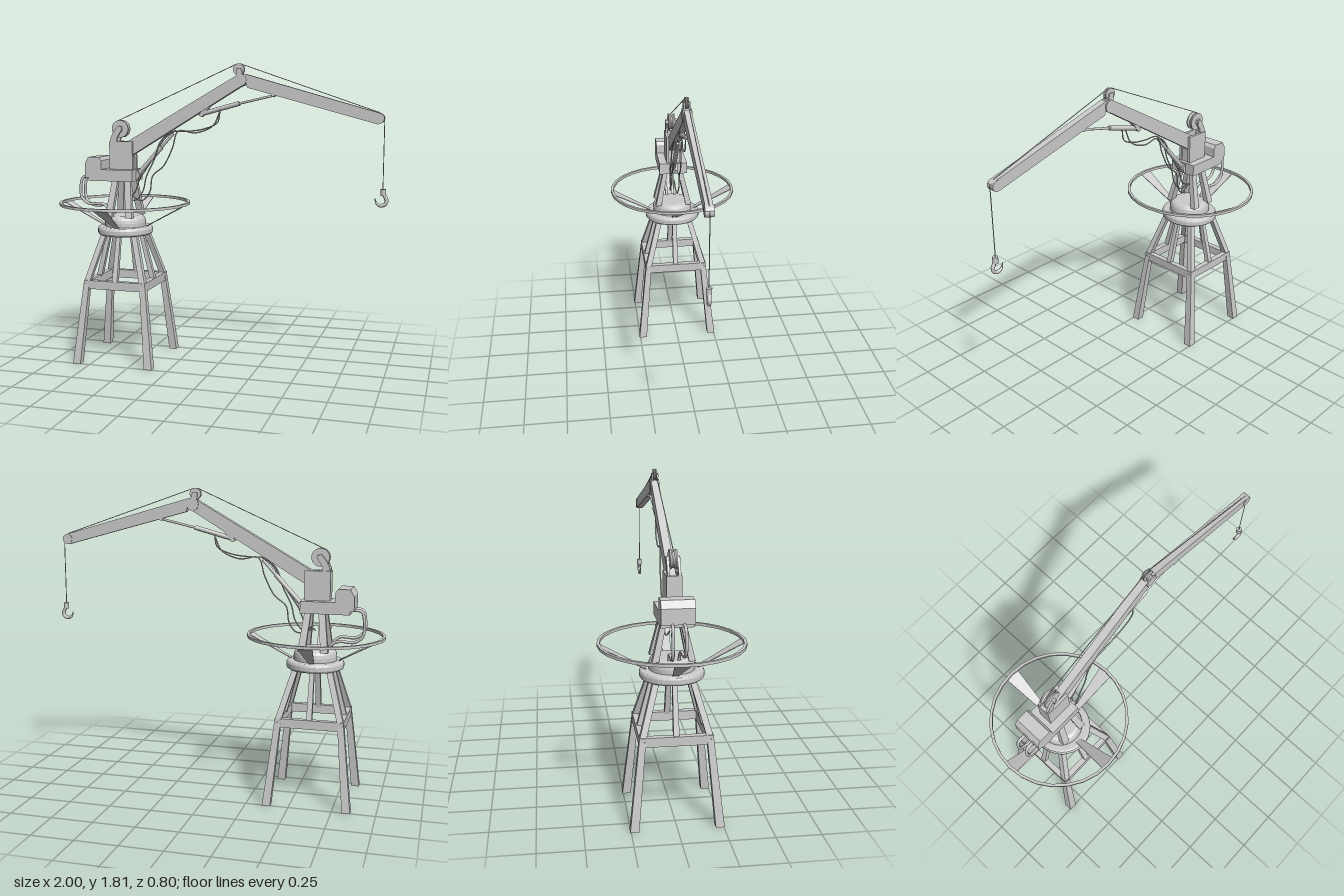
import * as THREE from 'three';

const CX = -0.602; // axis of the pedestal
const V = (x, y, z = 0) => new THREE.Vector3(x, y, z);

export function createModel() {
  const root = new THREE.Group();
  const mat = new THREE.MeshStandardMaterial({ color: 0xcccccc, side: THREE.DoubleSide });
  const flat = new THREE.MeshStandardMaterial({ color: 0xcccccc, side: THREE.DoubleSide, flatShading: true });

  const add = (name, geo, parent = root, m = mat) => {
    const mesh = new THREE.Mesh(geo, m);
    mesh.name = name;
    parent.add(mesh);
    return mesh;
  };
  const group = (name, x = 0, y = 0, z = 0) => {
    const g = new THREE.Group();
    g.name = name;
    g.position.set(x, y, z);
    root.add(g);
    return g;
  };
  const box = (name, x0, x1, y0, y1, z0, z1, parent = root) =>
    add(name, new THREE.BoxGeometry(x1 - x0, y1 - y0, z1 - z0)
      .translate((x0 + x1) / 2, (y0 + y1) / 2, (z0 + z1) / 2), parent, flat);

  // Leaning post with level ends: a, b are end centres, [hx, hz] half sizes
  const post = (name, a, b, ha, hb, parent) => {
    const geo = new THREE.BoxGeometry(2, 1, 2);
    const p = geo.attributes.position;
    for (let i = 0; i < p.count; i++) {
      const top = p.getY(i) > 0, c = top ? b : a, h = top ? hb : ha;
      p.setXYZ(i, c.x + p.getX(i) * h[0], c.y, c.z + p.getZ(i) * h[1]);
    }
    geo.computeVertexNormals();
    return add(name, geo, parent, flat);
  };
  // Side profile in x/y given a thickness in z
  const plate = (name, pts, z0, z1, parent = root) => {
    const shape = new THREE.Shape(pts.map(([x, y]) => new THREE.Vector2(x, y)));
    const geo = new THREE.ExtrudeGeometry(shape, { depth: z1 - z0, bevelEnabled: false });
    return add(name, geo.translate(0, 0, z0), parent, flat);
  };
  // Round bar between two points
  const rod = (name, a, b, r, sides = 12, parent = root) => {
    const d = b.clone().sub(a);
    const mesh = add(name, new THREE.CylinderGeometry(r, r, d.length(), sides), parent);
    mesh.position.copy(a).addScaledVector(d, 0.5);
    mesh.quaternion.setFromUnitVectors(V(0, 1, 0), d.normalize());
    return mesh;
  };
  const hose = (name, pts, r, parent) =>
    add(name, new THREE.TubeGeometry(new THREE.CatmullRomCurve3(pts.map(p => V(...p))), 48, r, 7), parent);
  // Grooved pulley with its axle along z
  const pulley = (name, x, y, r, w) => {
    const pts = [[0, -w], [r, -w], [r, -w * 0.6], [r * 0.86, -w * 0.2], [r * 0.86, w * 0.2], [r, w * 0.6], [r, w], [0, w]];
    const geo = new THREE.LatheGeometry(pts.map(p => new THREE.Vector2(...p)), 24).rotateX(Math.PI / 2);
    add(name, geo, root, flat).position.set(x, y, 0);
  };

  // Trestle: legs, ring beam and struts
  const base = group('trestle', CX);
  for (const sx of [-1, 1]) for (const sz of [-1, 1]) {
    post('leg', V(sx * 0.231, 0, sz * 0.231), V(sx * 0.181, 0.49, sz * 0.181), [0.024, 0.024], [0.018, 0.018], base);
    post('cornerStrut', V(sx * 0.18, 0.5, sz * 0.18), V(sx * 0.098, 0.79, sz * 0.098), [0.018, 0.018], [0.017, 0.017], base);
  }
  for (const s of [-1, 1]) {
    box('ringBeam', -0.198, 0.198, 0.46, 0.512, s * 0.181 - 0.017, s * 0.181 + 0.017, base);
    box('ringBeam', s * 0.181 - 0.017, s * 0.181 + 0.017, 0.46, 0.512, -0.164, 0.164, base);
    post('middleStrut', V(0, 0.5, s * 0.178), V(0, 0.79, s * 0.105), [0.016, 0.016], [0.013, 0.013], base);
    post('middleStrut', V(s * 0.178, 0.5, 0), V(s * 0.105, 0.79, 0), [0.016, 0.016], [0.013, 0.013], base);
  }

  // Turntable
  const lathe = (pts, n) => new THREE.LatheGeometry(pts.map(p => new THREE.Vector2(...p)), n);
  const table = group('turntable', CX);
  const disc = add('turntableDisc', lathe([[0, 0.78], [0.155, 0.78], [0.163, 0.784], [0.168, 0.793], [0.168, 0.815],
    [0.163, 0.826], [0.155, 0.831], [0, 0.831]], 32), table, flat);
  disc.scale.z = 1.05;
  add('turntableHub', lathe([[0.126, 0.83], [0.126, 0.855], [0.122, 0.875], [0.113, 0.89], [0.098, 0.898], [0, 0.898]], 32), table, flat);

  // Guard ring on four flared blades
  const guard = group('guardRing', CX);
  add('rim', lathe([[0.384, 0.964], [0.4, 0.964], [0.4, 0.98], [0.384, 0.98], [0.384, 0.964]], 28), guard, flat);
  for (let i = 0; i < 4; i++) {
    const geo = new THREE.BoxGeometry(2, 0.005, 1);
    const p = geo.attributes.position;
    for (let k = 0; k < p.count; k++) {
      const out = p.getZ(k) > 0;
      p.setXYZ(k, p.getX(k) * (out ? 0.043 : 0.016), p.getY(k) + (out ? 0.968 : 0.832), out ? 0.39 : 0.14);
    }
    geo.computeVertexNormals();
    add('blade', geo, guard, flat).rotation.y = i * Math.PI / 2;
  }

  // Column carrying the slewing platform
  const column = group('column', CX);
  for (const sx of [-1, 1]) for (const sz of [-1, 1])
    post('columnLeg', V(sx * 0.066, 0.89, sz * 0.098), V(sx * 0.04, 1.12, sz * 0.047), [0.021, 0.018], [0.019, 0.014], column);

  // Platform, winch cabin and boom tower
  box('platform', -0.805, -0.52, 1.11, 1.18, -0.088, 0.088);
  plate('cabin', [[-0.828, 1.13], [-0.72, 1.13], [-0.72, 1.235], [-0.735, 1.255], [-0.805, 1.255], [-0.828, 1.215]], -0.088, 0.088);
  for (const s of [-1, 1])
    box('towerSide', -0.685, -0.535, 1.17, 1.35, s * 0.033 - 0.008, s * 0.033 + 0.008);
  box('towerBack', -0.685, -0.665, 1.17, 1.35, -0.026, 0.026);
  box('towerFill', -0.665, -0.545, 1.17, 1.26, -0.026, 0.026);

  // Main boom and jib
  plate('mainBoom', [[-0.64, 1.31], [-0.605, 1.23], [-0.53, 1.275], [0.165, 1.695], [0.17, 1.735], [0.125, 1.75], [-0.56, 1.357]], -0.022, 0.022);
  plate('jib', [[0.13, 1.74], [0.165, 1.75], [0.94, 1.53], [0.965, 1.512], [0.96, 1.48], [0.93, 1.467], [0.175, 1.672], [0.165, 1.71]], -0.02, 0.02);
  rod('elbowPin', V(0.135, 1.715, -0.026), V(0.135, 1.715, 0.026), 0.036, 20);
  rod('tipPin', V(0.936, 1.5, -0.023), V(0.936, 1.5, 0.023), 0.03, 20);

  // Pulleys and their brackets
  pulley('towerPulley', -0.622, 1.425, 0.053, 0.02);
  pulley('elbowPulley', 0.122, 1.777, 0.034, 0.01);
  for (const s of [-1, 1]) {
    const z = s * 0.029;
    plate('towerPulleyBracket', [[-0.682, 1.34], [-0.64, 1.34], [-0.635, 1.375], [-0.605, 1.42], [-0.608, 1.44],
      [-0.63, 1.443], [-0.66, 1.405], [-0.678, 1.37]], z - 0.007, z + 0.007);
    plate('elbowPulleyBracket', [[0.11, 1.72], [0.155, 1.72], [0.137, 1.785], [0.108, 1.785]], s * 0.016 - 0.004, s * 0.016 + 0.004);
  }
  rod('towerPulleyAxle', V(-0.622, 1.425, -0.039), V(-0.622, 1.425, 0.039), 0.012);

  // Hoisting cable
  rod('backCable', V(-0.645, 1.472), V(0.107, 1.808), 0.0025, 6);
  rod('jibCable', V(0.132, 1.809), V(0.942, 1.531), 0.0025, 6);
  rod('hookCable', V(0.966, 1.505), V(0.966, 1.09), 0.0025, 6);

  // Hook: swivel block, shank and tapering curl
  const hook = group('hook', 0.966, 1.04);
  rod('swivelBlock', V(0.002, 0.025), V(0.002, 0.062), 0.016, 12, hook);
  const curl = new THREE.CatmullRomCurve3([[0.002, 0.035], [0.014, 0.018], [0.022, -0.002], [0.013, -0.024], [-0.008, -0.032],
    [-0.03, -0.024], [-0.041, -0.004], [-0.043, 0.008]].map(p => V(...p)));
  const hookGeo = new THREE.TubeGeometry(curl, 28, 0.011, 8);
  const hp = hookGeo.attributes.position;
  for (let i = 0; i < hp.count; i++) {
    const t = Math.floor(i / 9) / 28, c = curl.getPointAt(t), k = t > 0.6 ? 1 - (t - 0.6) * 2 : 1;
    hp.setXYZ(i, c.x + (hp.getX(i) - c.x) * k, c.y + (hp.getY(i) - c.y) * k, hp.getZ(i) * k);
  }
  add('hookCurl', hookGeo, hook);

  // Hydraulic rams
  plate('ramFoot', [[-0.54, 1.115], [-0.51, 1.115], [-0.497, 1.145], [-0.512, 1.175], [-0.54, 1.175]], -0.025, 0.025);
  rod('liftRam', V(-0.515, 1.15), V(-0.36, 1.318), 0.014);
  rod('liftRamRod', V(-0.37, 1.307), V(-0.285, 1.4), 0.009);
  plate('jibRamBracket', [[-0.122, 1.51], [-0.1, 1.5], [-0.05, 1.565], [-0.1, 1.54]], -0.015, 0.015);
  rod('jibRam', V(-0.112, 1.517), V(0.125, 1.581), 0.014);
  rod('jibRamRod', V(0.12, 1.579), V(0.335, 1.628), 0.007);
  rod('jibRamPin', V(0.33, 1.63, -0.02), V(0.33, 1.63, 0.02), 0.011);

  // Hydraulic hoses along the boom and behind the cabin
  const hoses = group('hoses');
  hose('boomHose', [[0.01, 1.55, 0.01], [-0.005, 1.47, 0.013], [-0.09, 1.43, 0.016], [-0.2, 1.415, 0.018], [-0.29, 1.41, 0.02], [-0.36, 1.35, 0.024],
    [-0.4, 1.24, 0.028], [-0.45, 1.14, 0.028], [-0.475, 1.05, 0.025], [-0.53, 0.99, 0.02], [-0.59, 1.01, 0.01]], 0.004, hoses);
  hose('boomHose', [[0.005, 1.54, -0.01], [-0.04, 1.45, -0.013], [-0.15, 1.405, -0.016], [-0.26, 1.415, -0.018], [-0.3, 1.31, -0.022], [-0.36, 1.2, -0.026],
    [-0.43, 1.14, -0.028], [-0.45, 1.04, -0.026], [-0.5, 0.985, -0.02], [-0.59, 1.03, -0.01]], 0.004, hoses);
  hose('boomHose', [[-0.27, 1.42, 0], [-0.34, 1.37, 0], [-0.42, 1.24, 0.005], [-0.5, 1.12, 0.01], [-0.54, 1.03, 0.01], [-0.6, 1.0, 0]], 0.004, hoses);
  for (const s of [-1, 1])
    hose('cabinHose', [[-0.8, 1.13, s * 0.03], [-0.865, 1.125, s * 0.032], [-0.882, 1.07, s * 0.034], [-0.875, 0.99 + s * 0.008, s * 0.034],
      [-0.83, 0.955 + s * 0.008, s * 0.032], [-0.74, 0.955 + s * 0.008, s * 0.03], [-0.695, 0.925, s * 0.028], [-0.68, 0.88, s * 0.026]], 0.009, hoses);

  return root;
}
